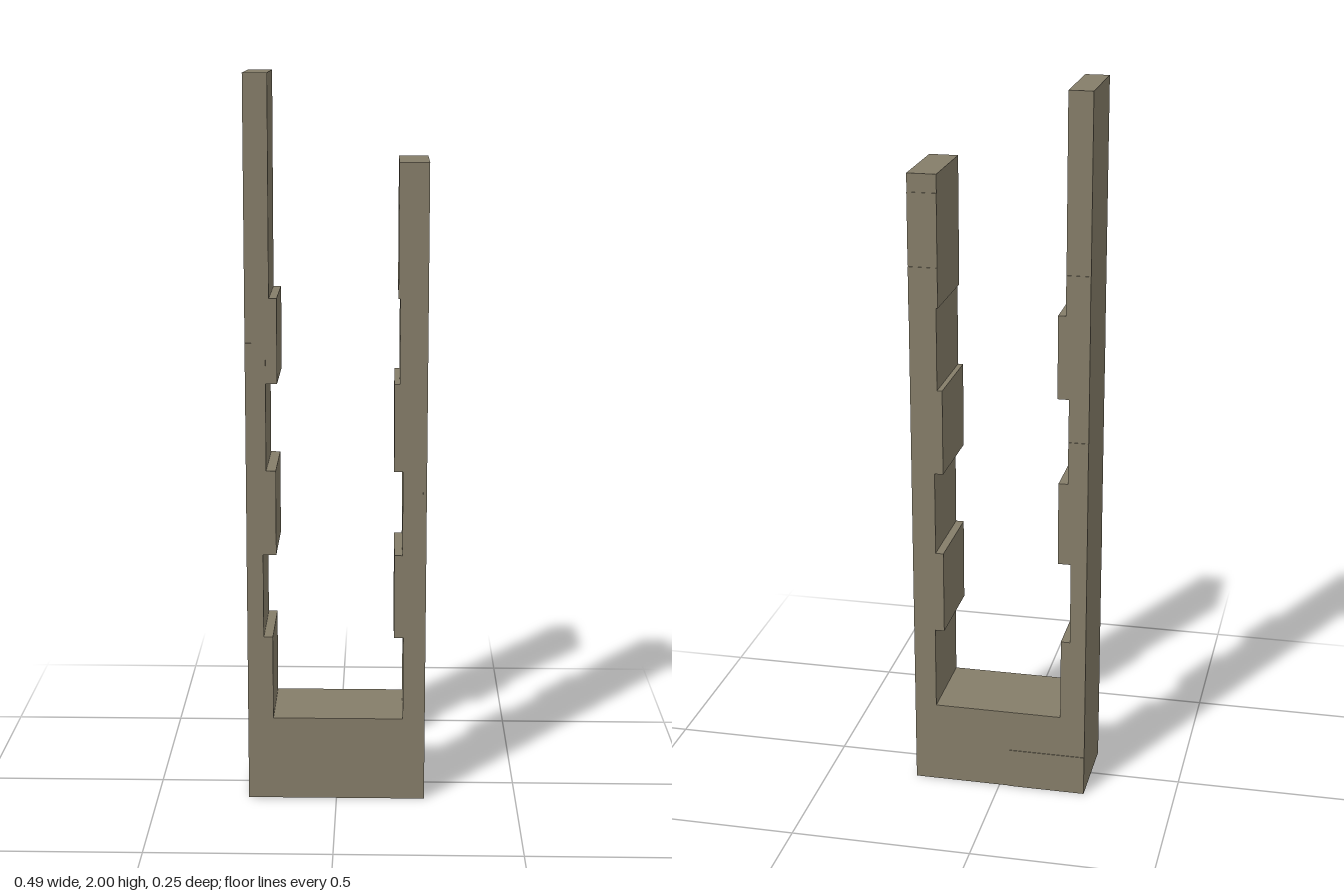
import * as THREE from 'three';

const BACK = -0.122, FRONT = 0.121, OUTER = 0.245;

export function createModel() {
  const group = new THREE.Group();
  group.name = 'ruinedDoorway';
  const stone = new THREE.MeshStandardMaterial({ color: 0x857d69 });
  stone.name = 'stone';

  // Upright frame: one extruded outline with stepped inner edges, [inner x, lower y, upper y]
  const tallSteps = [
    [-0.175, 0.235, 0.47], [-0.2, 0.47, 0.705], [-0.164, 0.705, 0.94],
    [-0.19, 0.94, 1.18], [-0.159, 1.18, 1.41], [-0.18, 1.41, 2],
  ];
  const shortSteps = [
    [0.184, 0.235, 0.47], [0.158, 0.47, 0.705], [0.18, 0.705, 0.94],
    [0.156, 0.94, 1.18], [0.17, 1.18, 1.41], [0.165, 1.41, 1.77],
  ];
  const points = [[-OUTER, 0], [OUTER, 0], [OUTER, 1.77]];
  for (const [x, low, high] of [...shortSteps].reverse()) points.push([x, high], [x, low]);
  for (const [x, low, high] of tallSteps) points.push([x, low], [x, high]);
  points.push([-OUTER, 2]);
  const outline = new THREE.Shape(points.map(([x, y]) => new THREE.Vector2(x, y)));
  const geometry = new THREE.ExtrudeGeometry(outline, { depth: FRONT - BACK, bevelEnabled: false });
  geometry.translate(0, 0, BACK);
  const frame = new THREE.Mesh(geometry, stone);
  frame.name = 'steppedFrame';
  group.add(frame);

  // Slightly raised stone facings on the front and back
  const facing = (name, x0, x1, y0, y1, z) => {
    const mesh = new THREE.Mesh(new THREE.BoxGeometry(x1 - x0, y1 - y0, 0.004), stone);
    mesh.position.set((x0 + x1) / 2, (y0 + y1) / 2, z);
    mesh.name = name;
    group.add(mesh);
  };
  facing('lowerTallFacing', -OUTER, -0.2, 0.59, 0.705, FRONT);
  facing('upperTallFacing', -OUTER, -0.19, 1.18, 1.29, FRONT);
  facing('lowerShortFacing', 0.235, OUTER, 0.59, 0.705, FRONT);
  facing('middleShortFacing', 0.235, OUTER, 0.83, 0.94, FRONT);
  facing('baseBackFacing', -OUTER, -0.03, 0, 0.115, BACK);
  facing('tallBackFacing', -OUTER, -0.19, 0.94, 1.06, BACK);
  facing('upperTallBackFacing', -OUTER, -0.18, 1.41, 1.52, BACK);
  facing('lowerShortBackFacing', 0.165, OUTER, 1.41, 1.52, BACK);
  facing('upperShortBackFacing', 0.165, OUTER, 1.53, 1.72, BACK);

  return group;
}
